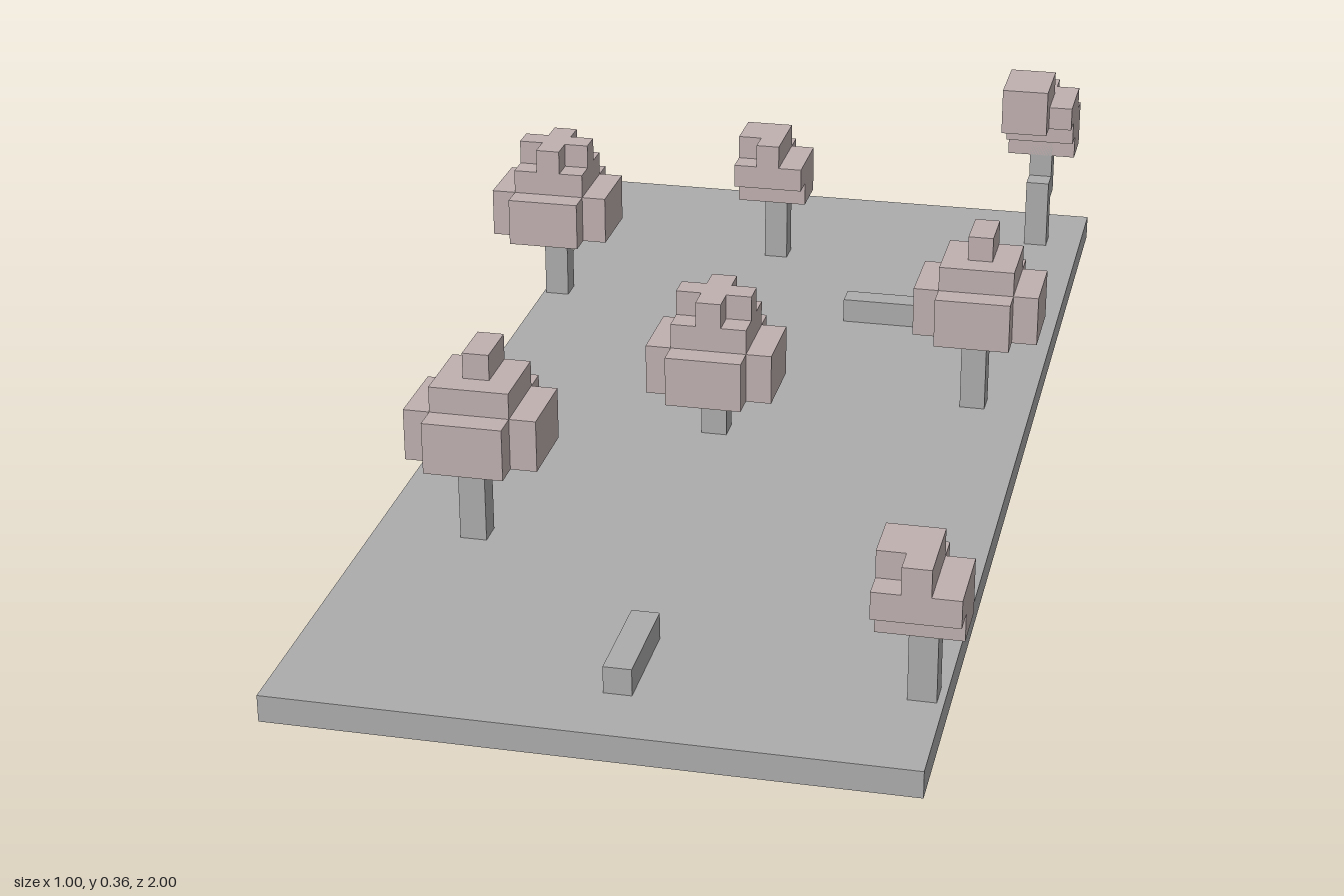
import * as THREE from 'three';

const V = 0.04; // block size
const GROUND = 0.04;

export function createModel() {
  const stone = new THREE.MeshStandardMaterial({ color: 0xacacac });
  stone.name = 'stoneGrey';
  const leaf = new THREE.MeshStandardMaterial({ color: 0xc0b0b0 });
  leaf.name = 'dustyPink';

  const model = new THREE.Group();
  model.name = 'blockTreePark';

  // Box given by its minimum and maximum corners
  function box(parent, name, mat, [x0, y0, z0], [x1, y1, z1]) {
    const mesh = new THREE.Mesh(new THREE.BoxGeometry(x1 - x0, y1 - y0, z1 - z0), mat);
    mesh.position.set((x0 + x1) / 2, (y0 + y1) / 2, (z0 + z1) / 2);
    mesh.name = name;
    parent.add(mesh);
  }

  // Square leaf layer with one block cut from each corner
  function notchedLayer(parent, name, half, y, height) {
    const h = half, n = half - V;
    const pts = [[n, -h], [n, -n], [h, -n], [h, n], [n, n], [n, h],
      [-n, h], [-n, n], [-h, n], [-h, -n], [-n, -n], [-n, -h]];
    const shape = new THREE.Shape(pts.map(([a, b]) => new THREE.Vector2(a, b)));
    const geo = new THREE.ExtrudeGeometry(shape, { depth: height, bevelEnabled: false });
    geo.rotateX(-Math.PI / 2);
    const mesh = new THREE.Mesh(geo, leaf);
    mesh.position.y = y;
    mesh.name = name;
    parent.add(mesh);
  }

  function addGroup(name, x, z) {
    const g = new THREE.Group();
    g.name = name;
    g.position.set(x, 0, z);
    model.add(g);
    return g;
  }

  // Round tree: wide crown, 3 x 3 layer and a cross or ridge on top
  function roundTree(name, x, z, crownY, bent) {
    const g = addGroup(name, x, z);
    const s = V / 2;
    if (bent) {
      box(g, 'lowerTrunk', stone, [-s, GROUND, s], [s, crownY, s + V]);
      box(g, 'upperTrunk', stone, [-s, crownY - V, -s], [s, crownY + V, s]);
    } else {
      box(g, 'trunk', stone, [-s, GROUND, -s], [s, crownY + V, s]);
    }
    notchedLayer(g, 'crown', 0.10, crownY, 2 * V);
    box(g, 'upperCrown', leaf, [-0.06, crownY + 2 * V, -0.06], [0.06, crownY + 3 * V, 0.06]);
    if (bent) {
      box(g, 'topRidge', leaf, [-s, crownY + 3 * V, -0.06], [s, crownY + 4 * V, s]);
    } else {
      notchedLayer(g, 'topCross', 0.06, crownY + 3 * V, V);
    }
  }

  // Small tree: stepped leaf blocks, origin at its back right corner
  function smallTree(name, x, z) {
    const g = addGroup(name, x, z);
    box(g, 'trunk', stone, [V, GROUND, V], [2 * V, 0.18, 2 * V]);
    box(g, 'lowLeaves', leaf, [V, 0.16, 0], [2 * V, 0.20, V]);
    box(g, 'lowLeaves', leaf, [0, 0.16, V], [3 * V, 0.20, 3 * V]);
    box(g, 'midLeaves', leaf, [0, 0.20, 0], [2 * V, 0.24, V]);
    box(g, 'midLeaves', leaf, [0, 0.20, V], [3 * V, 0.24, 4 * V]);
    box(g, 'highLeaves', leaf, [0, 0.24, V], [2 * V, 0.28, 3 * V]);
    box(g, 'highLeaves', leaf, [V, 0.24, 3 * V], [2 * V, 0.28, 4 * V]);
  }

  // Leaning tree: bent trunk and leaves climbing towards the front
  function leaningTree(name, x, z) {
    const g = addGroup(name, x, z);
    box(g, 'lowerTrunk', stone, [V, GROUND, 3 * V], [2 * V, 0.16, 4 * V]);
    box(g, 'upperTrunk', stone, [V, 0.12, 2 * V], [2 * V, 0.24, 3 * V]);
    box(g, 'backLeaves', leaf, [0, 0.20, 0], [2 * V, 0.28, V]);
    box(g, 'backLeaves', leaf, [0, 0.20, V], [3 * V, 0.28, 3 * V]);
    box(g, 'middleLeaves', leaf, [0, 0.24, V], [2 * V, 0.32, 4 * V]);
    box(g, 'middleLeaves', leaf, [2 * V, 0.24, 2 * V], [3 * V, 0.32, 4 * V]);
    box(g, 'frontLeaves', leaf, [0, 0.28, 4 * V], [3 * V, 0.32, 5 * V]);
    box(g, 'frontLeaves', leaf, [0, 0.28, 3 * V], [2 * V, 0.36, 6 * V]);
  }

  // Ground slab
  box(model, 'ground', stone, [-0.43, 0, -1], [0.47, GROUND, 1]);

  // Trees
  roundTree('backRightTree', -0.405, -0.45, 0.16, false);
  roundTree('middleTree', -0.01, 0.055, 0.12, false);
  roundTree('frontRightTree', -0.278, 0.443, 0.16, true);
  roundTree('leftTree', 0.376, -0.168, 0.16, true);
  smallTree('backSmallTree', -0.123, -0.763);
  smallTree('frontSmallTree', 0.38, 0.747);
  leaningTree('leaningTree', 0.33, -1);

  // Fallen logs
  box(model, 'backLog', stone, [0.11, GROUND, -0.455], [0.27, 0.08, -0.415]);
  box(model, 'frontLog', stone, [0.02, GROUND, 0.735], [0.06, 0.08, 0.895]);

  return model;
}
